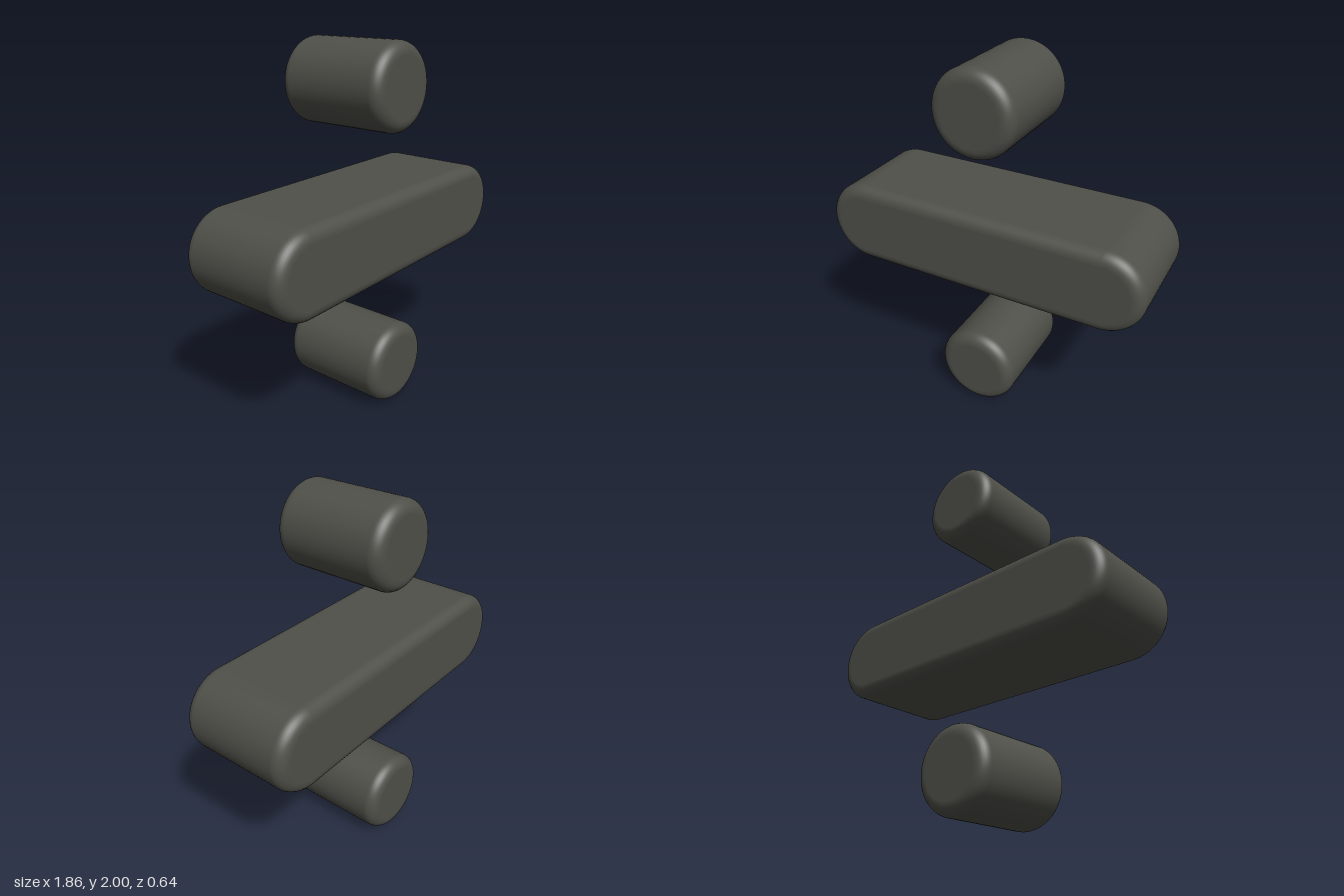
import * as THREE from 'three';
import { mergeVertices } from 'three/addons/utils/BufferGeometryUtils.js';

const RADIUS = 0.23;
const DEPTH = 0.64;
const BEVEL = 0.065;

// Pill outline (a circle when halfLength is 0), extruded along z with a rounded rim
function pillGeometry(halfLength) {
  const r = RADIUS - BEVEL;
  const steps = 32;
  const points = [];
  for (const side of [1, -1]) {
    const last = halfLength > 0 ? steps : steps - 1;
    for (let i = 0; i <= last; i++) {
      const a = (i / steps - 0.5) * Math.PI;
      points.push(new THREE.Vector2(side * (halfLength + r * Math.cos(a)), side * r * Math.sin(a)));
    }
  }
  const geometry = new THREE.ExtrudeGeometry(new THREE.Shape(points), {
    depth: DEPTH - 2 * BEVEL,
    bevelThickness: BEVEL,
    bevelSize: BEVEL,
    bevelSegments: 8,
  });
  geometry.translate(0, 0, BEVEL - DEPTH / 2);

  // Weld the corners so the rim shades smoothly into the flat ends
  geometry.deleteAttribute('normal');
  geometry.deleteAttribute('uv');
  geometry.clearGroups();
  const smooth = mergeVertices(geometry, 1e-5);
  smooth.computeVertexNormals();
  return smooth;
}

export function createModel() {
  const model = new THREE.Group();
  model.name = 'divisionSign';
  const charcoal = new THREE.MeshStandardMaterial({ color: 0x50504a });
  charcoal.name = 'charcoal';

  const add = (name, geometry, y) => {
    const mesh = new THREE.Mesh(geometry, charcoal);
    mesh.name = name;
    mesh.position.y = y;
    model.add(mesh);
  };

  // Long bar between two round dots
  const dot = pillGeometry(0);
  add('lowerDot', dot, RADIUS);
  add('middleBar', pillGeometry(0.93 - RADIUS), 1);
  add('upperDot', dot, 2 - RADIUS);

  return model;
}
